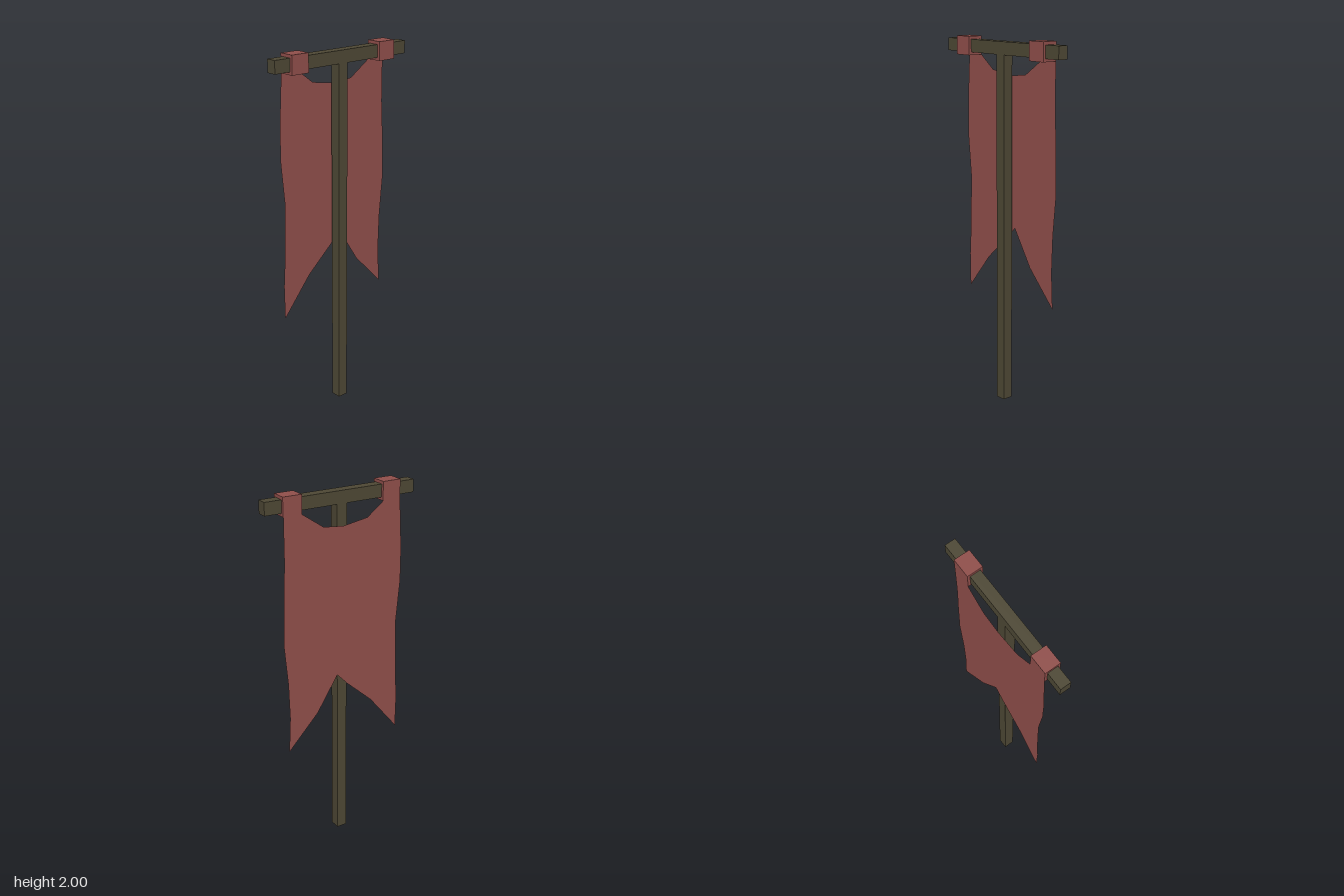
import * as THREE from 'three';

const wood = new THREE.MeshStandardMaterial({ color: 0x4d4734, flatShading: true });
const fabric = new THREE.MeshStandardMaterial({ color: 0x8f4e4a, flatShading: true, side: THREE.DoubleSide });

function box(name, material, size, position) {
  const mesh = new THREE.Mesh(new THREE.BoxGeometry(...size), material);
  mesh.name = name;
  mesh.position.set(...position);
  return mesh;
}

export function createModel() {
  const group = new THREE.Group();
  group.name = 'banner';

  // Upright pole and the bar across its top
  group.add(box('pole', wood, [0.058, 1.916, 0.058], [0, 0.958, 0]));
  group.add(box('crossbar', wood, [0.872, 0.068, 0.058], [0, 1.95, 0]));

  // Fabric loops wrapped round the bar
  for (const [name, side] of [['leftLoop', 1], ['rightLoop', -1]]) {
    group.add(box(name, fabric, [0.105, 0.1, 0.086], [side * 0.29, 1.95, 0]));
  }

  // Ragged cloth sheet hanging flush with the back of the loops
  const outline = [
    // right edge, downwards
    [-0.343, 1.9], [-0.358, 1.63], [-0.358, 1.447], [-0.336, 1.22], [-0.343, 0.92], [-0.353, 0.76],
    // swallowtail hem
    [-0.35, 0.57], [-0.18, 0.78], [-0.027, 0.918], [0.037, 0.985], [0.16, 0.79], [0.34, 0.6],
    // left edge, upwards
    [0.33, 0.8], [0.336, 1.0], [0.357, 1.23], [0.35, 1.5], [0.342, 1.66], [0.342, 1.9],
    // sagging neckline
    [0.238, 1.9], [0.116, 1.817], [0, 1.805], [-0.143, 1.828], [-0.238, 1.9],
  ].map(([x, y]) => new THREE.Vector2(x, y));
  const cloth = new THREE.Mesh(new THREE.ShapeGeometry(new THREE.Shape(outline)), fabric);
  cloth.name = 'cloth';
  cloth.position.z = -0.043;
  group.add(cloth);

  return group;
}
